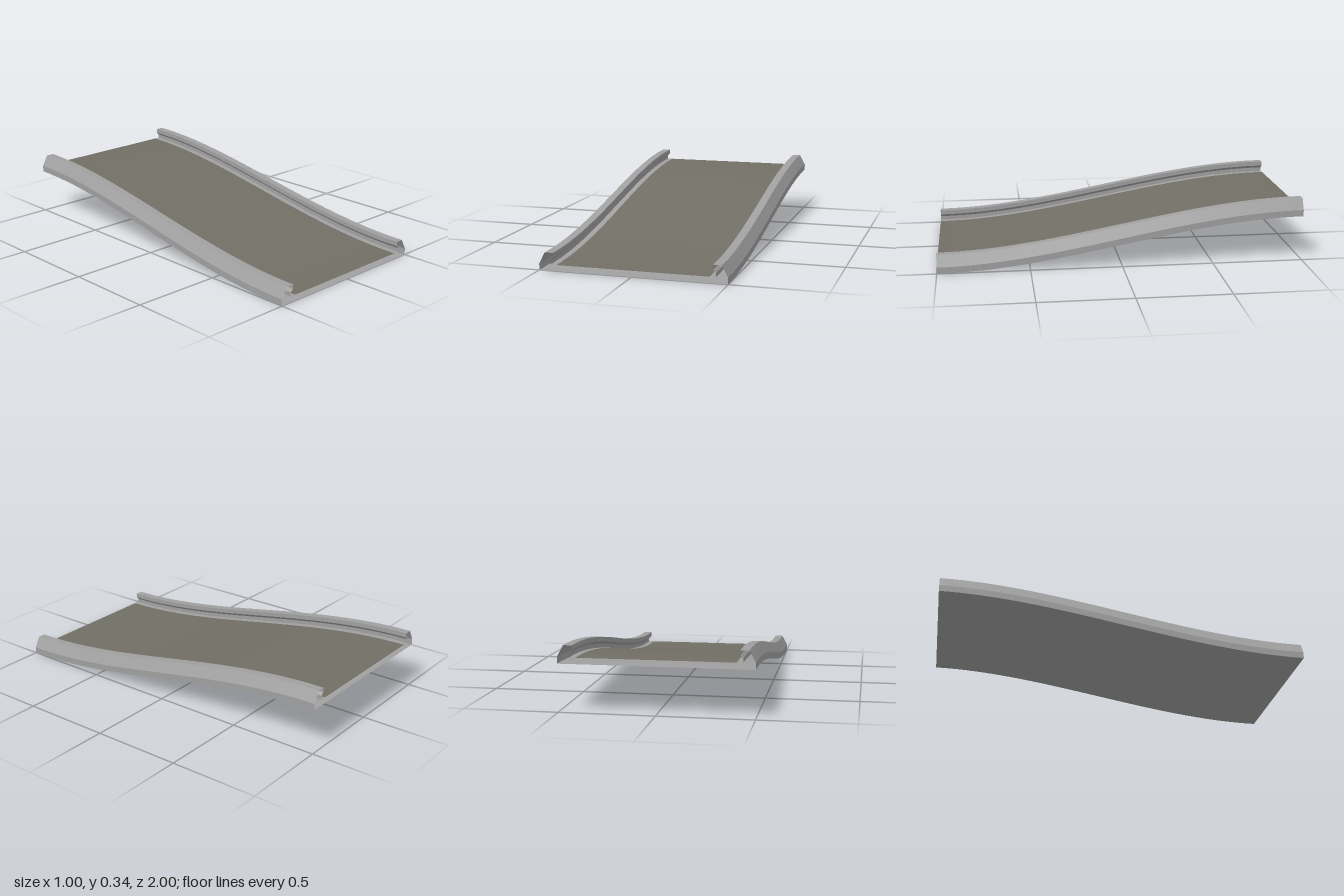
import * as THREE from 'three';

const LENGTH = 2;
const RISE = 0.25;
const STEPS = 32;

// S-curved ramp height, low at the front (+z) and high at the back (-z)
const heightAt = (z) => {
  const t = (1 - z) / 2;
  return RISE * t * t * (3 - 2 * t);
};

// Sweeps one edge of the cross-section along the ramp
function strip([x0, y0], [x1, y1]) {
  const positions = [];
  const indices = [];
  for (let i = 0; i <= STEPS; i++) {
    const z = LENGTH / 2 - (LENGTH * i) / STEPS;
    const h = heightAt(z);
    positions.push(x0, y0 + h, z, x1, y1 + h, z);
    if (i < STEPS) {
      const a = i * 2;
      indices.push(a, a + 1, a + 2, a + 1, a + 3, a + 2);
    }
  }
  const geometry = new THREE.BufferGeometry();
  geometry.setAttribute('position', new THREE.Float32BufferAttribute(positions, 3));
  geometry.setIndex(indices);
  geometry.computeVertexNormals();
  return geometry;
}

export function createModel() {
  const model = new THREE.Group();
  model.name = 'curvedRamp';

  const concrete = new THREE.MeshStandardMaterial({ color: 0xa0a0a0, side: THREE.DoubleSide });
  concrete.name = 'light grey concrete';
  const asphalt = new THREE.MeshStandardMaterial({ color: 0x716f65, side: THREE.DoubleSide });
  asphalt.name = 'brown grey road';

  const add = (parent, name, from, to, material) => {
    const mesh = new THREE.Mesh(strip(from, to), material);
    mesh.name = name;
    parent.add(mesh);
  };

  // Road surface and underside of the hollow, open-ended shell
  add(model, 'roadSurface', [-0.405, 0.033], [0.405, 0.033], asphalt);
  add(model, 'underside', [0.5, 0], [-0.5, 0], concrete);

  // Kerb profile, from the road edge over the barrier to the bottom corner
  const profile = [
    [0.405, 0.033], [0.438, 0.033], [0.438, 0.055], [0.423, 0.07],
    [0.423, 0.095], [0.468, 0.095], [0.5, 0.035], [0.5, 0],
  ];
  const faces = ['gutter', 'innerFoot', 'overhang', 'innerWall', 'top', 'outerSlope', 'outerEdge'];

  for (const side of [1, -1]) {
    const barrier = new THREE.Group();
    barrier.name = side > 0 ? 'leftBarrier' : 'rightBarrier';
    faces.forEach((name, i) => {
      const a = [profile[i][0] * side, profile[i][1]];
      const b = [profile[i + 1][0] * side, profile[i + 1][1]];
      // The mirrored side runs the other way so its faces still point outward
      if (side > 0) add(barrier, name, a, b, concrete);
      else add(barrier, name, b, a, concrete);
    });
    model.add(barrier);
  }
  return model;
}
